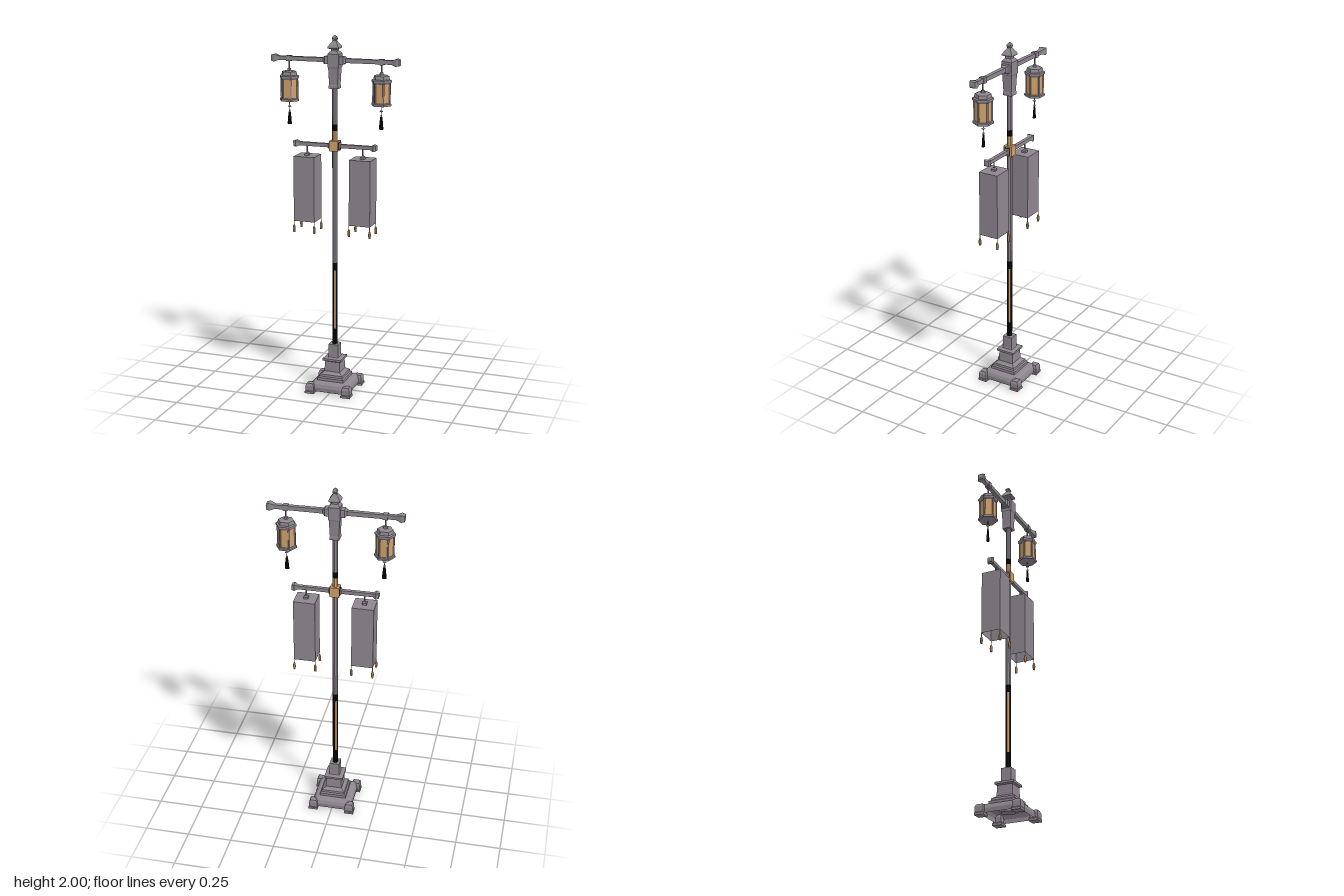
import * as THREE from 'three';

const mat = (name, color) => {
  const m = new THREE.MeshStandardMaterial({ color, side: THREE.DoubleSide });
  m.name = name;
  return m;
};

// Faceted solid of revolution; profile is [half width, y] from bottom to top.
// The half width is measured to the flat sides for 4 sides, to the corners otherwise.
function facet(profile, sides) {
  const k = sides === 4 ? Math.SQRT2 : 1;
  const start = sides === 4 ? Math.PI / 4 : sides === 6 ? Math.PI / 6 : 0;
  const pts = profile.map(([r, y]) => new THREE.Vector2(r * k, y));
  const g = new THREE.LatheGeometry(pts, sides, start).toNonIndexed();
  g.computeVertexNormals();
  return g;
}

export function createModel() {
  const root = new THREE.Group();
  root.name = 'streetLamp';
  const stone = mat('greyMetal', 0x8f8790);
  const gold = mat('amber', 0xd2a26c);
  const black = mat('black', 0x0c0b0c);

  const add = (parent, name, geo, material, x = 0, y = 0, z = 0) => {
    const m = new THREE.Mesh(geo, material);
    m.name = name;
    m.position.set(x, y, z);
    parent.add(m);
    return m;
  };
  const box = (w, h, d) => new THREE.BoxGeometry(w, h, d);

  // Hollow stepped pedestal
  add(root, 'pedestal', facet([
    [0.113, 0.012], [0.115, 0.035], [0.108, 0.053], [0.095, 0.063], [0.076, 0.066],
    [0.076, 0.082], [0.068, 0.088], [0.066, 0.1], [0.052, 0.108], [0.046, 0.115],
    [0.043, 0.172], [0.054, 0.178], [0.054, 0.19], [0.03, 0.194], [0.028, 0.2],
    [0.028, 0.27], [0, 0.27]], 4), stone);
  add(root, 'pedestalSocket', facet([[0, 0.03], [0.04, 0.03], [0.04, 0.07]], 8), stone);

  // Corner feet
  for (const sx of [-1, 1]) for (const sz of [-1, 1]) {
    add(root, 'foot', facet([
      [0, 0], [0.027, 0], [0.027, 0.012], [0.024, 0.016], [0.024, 0.045],
      [0.018, 0.058], [0, 0.06]], 4), stone, sx * 0.106, 0, sz * 0.105);
  }

  // Octagonal pole in bands
  const R = 0.0152;
  const band = (name, y0, y1, m) => add(root, name, facet([[R, y0], [R, y1]], 8), m);
  band('lowerBlackBand', 0.27, 0.36, black);
  band('upperBlackBand', 0.7, 0.745, black);
  band('poleShaft', 0.745, 1.38, stone);
  band('amberBand', 1.38, 1.485, gold);
  band('topBlackBand', 1.485, 1.52, black);
  band('poleTop', 1.52, 1.75, stone);

  // Inlaid section, alternating facets
  const inlay = facet([[R, 0.36], [R, 0.7]], 8);
  for (let i = 0; i < 8; i++) inlay.addGroup(i * 6, 6, i % 2);
  add(root, 'inlaidSection', inlay, [gold, black]);

  // Head block and finial
  add(root, 'headBlock', facet([
    [0.015, 1.715], [0.026, 1.715], [0.026, 1.73], [0.024, 1.735], [0.028, 1.825],
    [0.031, 1.83], [0.031, 1.9], [0.022, 1.912], [0.017, 1.915], [0.017, 1.925],
    [0.03, 1.93], [0.03, 1.938], [0.012, 1.965], [0.009, 1.97], [0.013, 1.98],
    [0.011, 1.988], [0, 2]], 4), stone);

  // Middle clasp
  add(root, 'clasp', box(0.05, 0.056, 0.05), gold, 0, 1.403, 0);

  // Crossarms with flared ends
  const arm = (name, s, y, profile) => {
    const g = facet(profile, 4);
    g.rotateZ(-s * Math.PI / 2);
    add(root, name, g, stone, 0, y, 0);
  };
  for (const s of [-1, 1]) {
    arm('upperArm', s, 1.866, [
      [0.021, 0.03], [0.021, 0.052], [0.012, 0.064], [0.011, 0.315], [0.013, 0.325],
      [0.02, 0.345], [0.016, 0.362], [0.006, 0.366], [0, 0.366]]);
    arm('lowerArm', s, 1.403, [
      [0.017, 0.024], [0.017, 0.03], [0.01, 0.036], [0.01, 0.205], [0.018, 0.222],
      [0.014, 0.237], [0, 0.241]]);
    add(root, 'claspEdge', box(0.004, 0.04, 0.036), black, s * 0.0262, 1.403, 0);
  }

  // Hexagonal hanging lantern
  function lantern() {
    const g = new THREE.Group();
    g.name = 'lantern';
    add(g, 'hookCollar', box(0.026, 0.03, 0.03), stone, 0, 1.866, 0);
    add(g, 'hookRod', new THREE.CylinderGeometry(0.004, 0.004, 0.06, 6), stone, 0, 1.825, 0);
    add(g, 'hookKnob', facet([[0, 1.793], [0.012, 1.8], [0.009, 1.812], [0, 1.814]], 6), stone);
    add(g, 'roof', facet([
      [0, 1.752], [0.048, 1.752], [0.056, 1.762], [0.056, 1.772], [0.046, 1.776],
      [0.042, 1.794], [0.032, 1.798], [0, 1.798]], 6), stone);
    add(g, 'glass', facet([[0.046, 1.645], [0.046, 1.755]], 6), gold);
    add(g, 'floor', facet([
      [0, 1.635], [0.054, 1.635], [0.056, 1.638], [0.056, 1.647], [0.05, 1.651], [0, 1.651]], 6), stone);
    for (let i = 0; i < 6; i++) {
      const a = i * Math.PI / 3;
      add(g, 'post', box(0.008, 0.11, 0.008), stone,
        0.046 * Math.cos(a), 1.7, 0.046 * Math.sin(a)).rotation.y = -a;
    }
    // Tassel below the lantern
    add(g, 'tasselCord', new THREE.CylinderGeometry(0.002, 0.002, 0.06, 5), stone, 0, 1.608, 0);
    add(g, 'tasselBead', facet([[0, 1.598], [0.011, 1.605], [0, 1.612]], 6), stone);
    add(g, 'tasselCap', facet([[0.005, 1.574], [0.005, 1.584], [0, 1.586]], 6), gold);
    add(g, 'tassel', facet([
      [0, 1.505], [0.013, 1.507], [0.009, 1.55], [0.006, 1.574], [0, 1.576]], 6), black).scale.z = 0.6;
    return g;
  }

  // Rectangular shade, open below
  function shade() {
    const g = new THREE.Group();
    g.name = 'shade';
    add(g, 'shadeSides', facet([[1, 0.977], [1, 1.34], [0, 1.34]], 4), stone).scale.set(0.06, 1, 0.056);
    add(g, 'shadeRod', new THREE.CylinderGeometry(0.004, 0.004, 0.05, 6), stone, 0, 1.375, 0);
    add(g, 'shadeHook', facet([[0.012, 1.34], [0.012, 1.35], [0.005, 1.358]], 4), stone);
    for (const sx of [-1, 1]) for (const sz of [-1, 1]) {
      const t = new THREE.Group();
      t.name = 'cornerTassel';
      t.position.set(sx * 0.059, 0, sz * 0.055);
      add(t, 'cornerCord', new THREE.CylinderGeometry(0.002, 0.002, 0.03, 5), gold, 0, 0.965, 0);
      add(t, 'cornerDrop', facet([
        [0, 0.913], [0.006, 0.914], [0.008, 0.935], [0.006, 0.95], [0.003, 0.956], [0, 0.957]], 6), gold);
      g.add(t);
    }
    return g;
  }

  for (const s of [-1, 1]) {
    const l = lantern();
    l.position.x = s * 0.262;
    const b = shade();
    b.position.x = s * 0.16;
    root.add(l, b);
  }
  return root;
}
